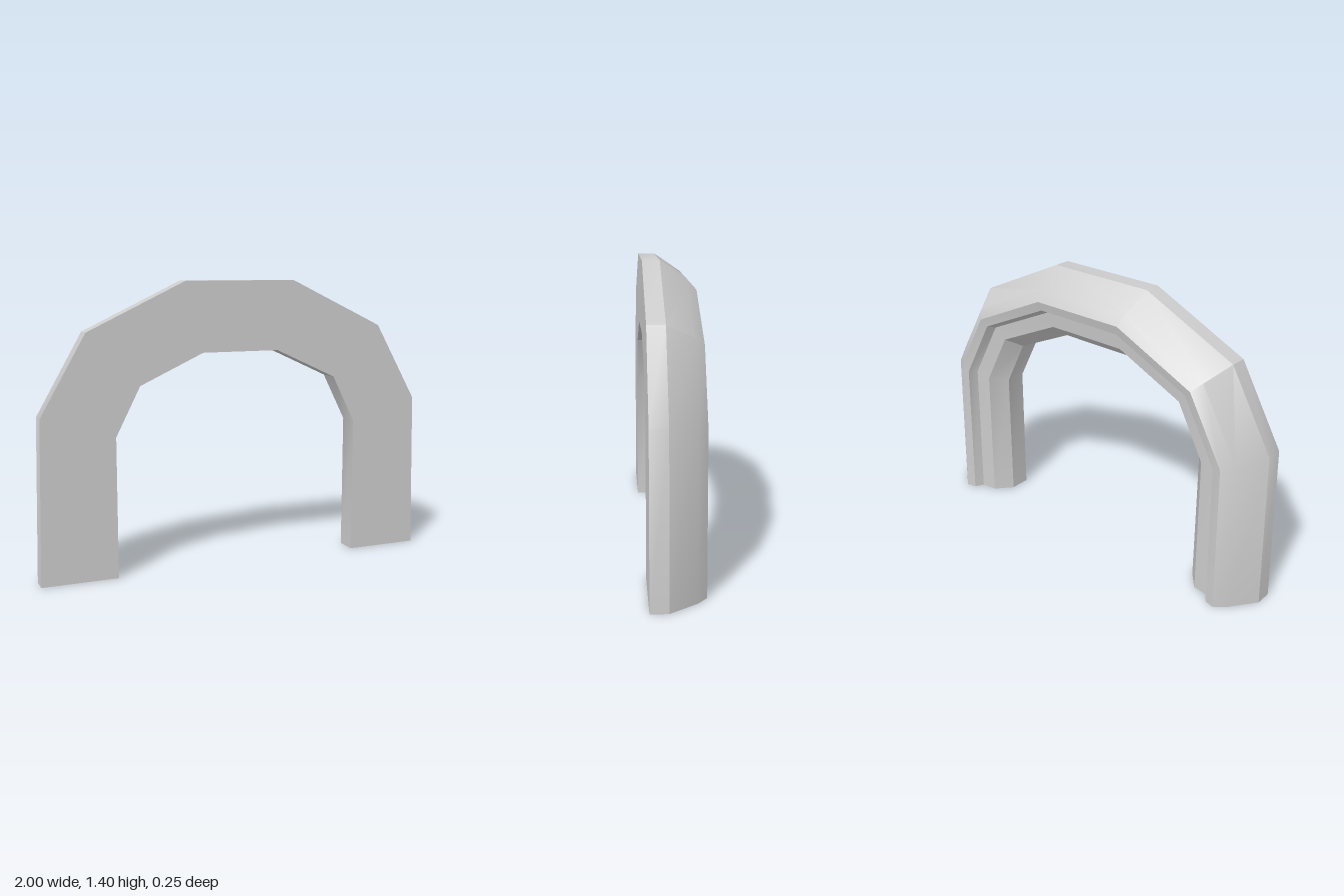
import * as THREE from 'three';
import { toCreasedNormals } from 'three/addons/utils/BufferGeometryUtils.js';

// Moulding section: [across (0 = inner edge, 1 = outer edge), z], outer front to inner front
const SECTION = [
  [1, 0.127], [1, 0.045], [0.745, -0.083], [0.6, -0.127], [0.47, -0.115],
  [0.41, -0.07], [0.19, -0.06], [0, 0.022], [0, 0.127],
];

// Half of the arch: [outer x, outer y, inner x, inner y], from the foot to the crown
const HALF = [
  [1, 0, 0.63, 0],
  [0.983, 0.785, 0.63, 0.68],
  [0.763, 1.17, 0.51, 0.915],
  [0.28, 1.4, 0.195, 1.06],
];

function archGeometry() {
  const mirrored = HALF.map(([ox, oy, ix, iy]) => [-ox, oy, -ix, iy]).reverse();
  const stations = [...HALF, ...mirrored];
  const n = SECTION.length;
  const positions = [];
  const index = [];

  // One copy of the section at every joint of the arch
  for (const [ox, oy, ix, iy] of stations) {
    for (const [t, z] of SECTION) {
      positions.push(ix + (ox - ix) * t, iy + (oy - iy) * t, z);
    }
  }

  // Skin between neighbouring sections
  for (let i = 0; i < stations.length - 1; i++) {
    for (let j = 0; j < n; j++) {
      const k = (j + 1) % n;
      const a = i * n + j, b = i * n + k;
      index.push(a, b, b + n, a, b + n, a + n);
    }
  }

  // Flat soles of the two feet
  const outline = SECTION.map(([t, z]) => new THREE.Vector2(t, z));
  const last = (stations.length - 1) * n;
  for (const tri of THREE.ShapeUtils.triangulateShape(outline, [])) {
    let [a, b, c] = tri;
    if (THREE.ShapeUtils.area([outline[a], outline[b], outline[c]]) < 0) [b, c] = [c, b];
    index.push(a, b, c, last + a, last + c, last + b);
  }

  const geometry = new THREE.BufferGeometry();
  geometry.setAttribute('position', new THREE.Float32BufferAttribute(positions, 3));
  geometry.setIndex(index);
  return toCreasedNormals(geometry, 0.5);
}

export function createModel() {
  const group = new THREE.Group();
  group.name = 'archMoulding';
  const arch = new THREE.Mesh(
    archGeometry(),
    new THREE.MeshStandardMaterial({ color: 0xcccccc }),
  );
  arch.name = 'arch';
  group.add(arch);
  return group;
}
